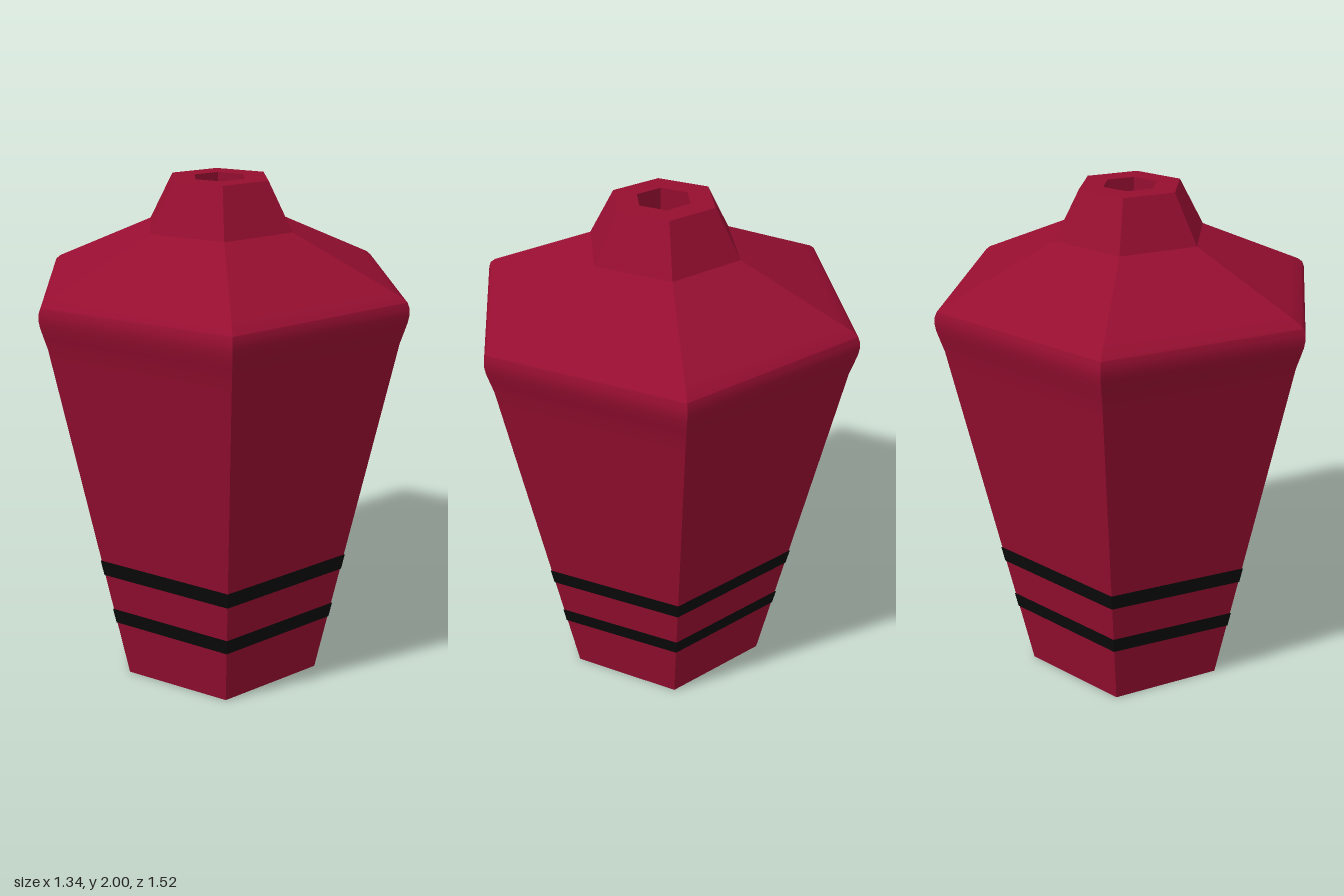
import * as THREE from 'three';
import { toCreasedNormals } from 'three/addons/utils/BufferGeometryUtils.js';

const SIDES = 6;
const TURN = -0.03; // slight twist of the hexagon about y
const TILT = -0.031; // the bands sink towards the front
const wallRadius = (y) => 0.445 + 0.1966 * y;

// Six-sided lathe from [radius, height] pairs
function hexLathe(profile) {
  const points = profile.map(([r, y]) => new THREE.Vector2(r, y));
  return new THREE.LatheGeometry(points, SIDES, TURN, Math.PI * 2);
}

// Thin painted band that follows the tapered wall and is gently tilted
function bandGeometry(y0, y1) {
  const geometry = hexLathe([[wallRadius(y0), y0], [wallRadius(y1), y1]]);
  const pos = geometry.attributes.position;
  for (let i = 0; i < pos.count; i++) {
    const x = pos.getX(i), z = pos.getZ(i);
    const y = pos.getY(i) + TILT * z;
    const k = (wallRadius(y) + 0.004) / Math.hypot(x, z);
    pos.setXYZ(i, x * k, y, z * k);
  }
  return toCreasedNormals(geometry, 0.4);
}

export function createModel() {
  const group = new THREE.Group();
  group.name = 'hexagonalVase';

  const crimson = new THREE.MeshStandardMaterial({ color: 0x960e30 });
  crimson.name = 'crimson';
  const black = new THREE.MeshStandardMaterial({ color: 0x0a0a0a });
  black.name = 'black';

  const add = (name, geometry, material) => {
    const mesh = new THREE.Mesh(geometry, material);
    mesh.name = name;
    group.add(mesh);
  };

  // Base, tapered wall, rounded shoulder and sloping roof
  add('body', toCreasedNormals(hexLathe([
    [0, 0], [0.445, 0], [wallRadius(1.4), 1.4], [0.731, 1.455],
    [0.745, 1.5], [0.757, 1.54], [0.761, 1.565], [0.76, 1.59],
    [0.751, 1.611], [0.73, 1.627], [0.69, 1.645], [0.3, 1.82],
  ]), 0.4), crimson);

  // Neck with its flat lip and the opening
  add('neck', toCreasedNormals(hexLathe([
    [0.3, 1.82], [0.2, 2], [0.105, 2], [0.105, 1.7], [0, 1.7],
  ]), 0.4), crimson);

  // Two painted bands
  add('lowerBand', bandGeometry(0.263, 0.331), black);
  add('upperBand', bandGeometry(0.495, 0.564), black);

  return group;
}
